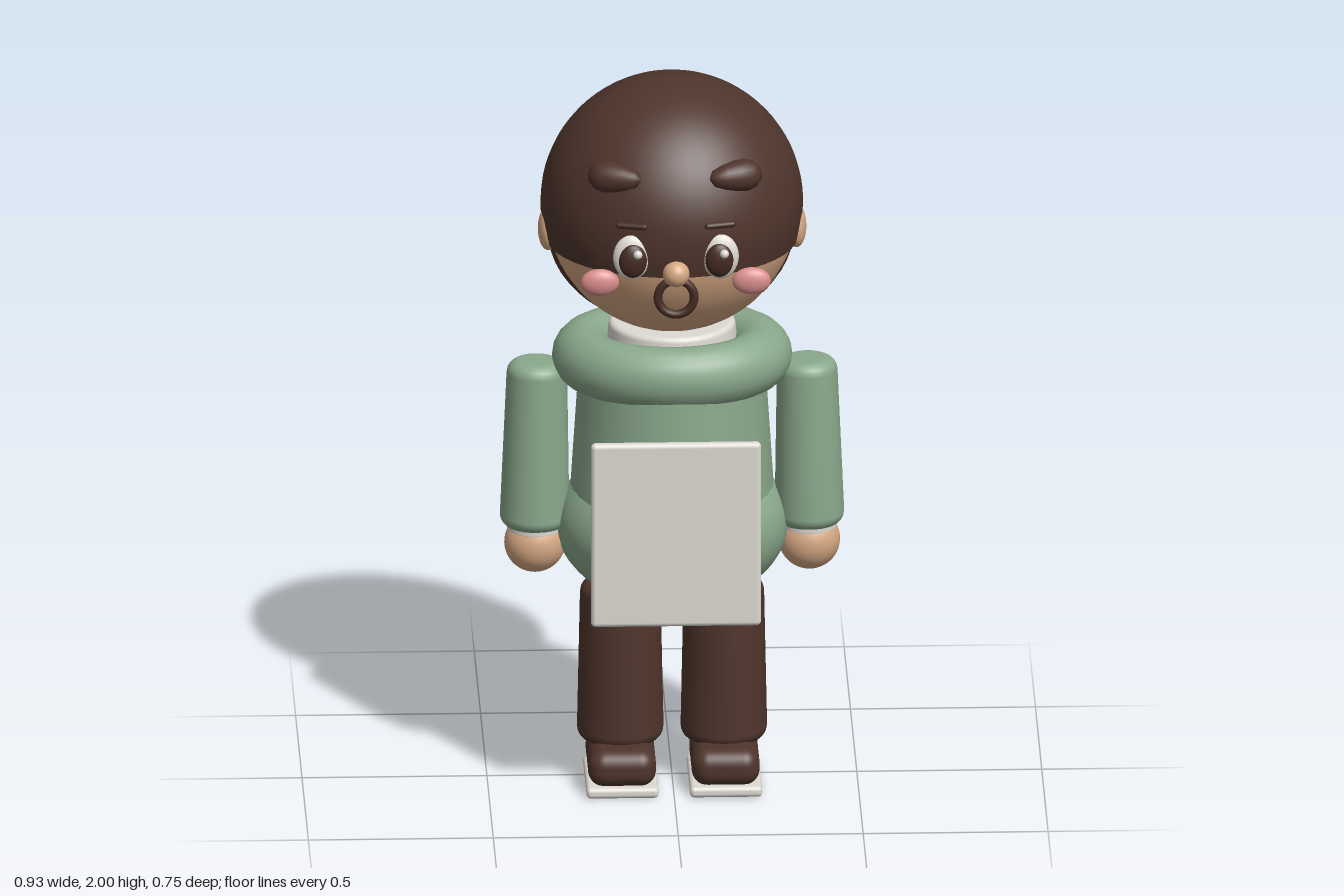
import * as THREE from 'three';
import { RoundedBoxGeometry } from 'three/addons/geometries/RoundedBoxGeometry.js';

const mat = (name, color) => {
  const m = new THREE.MeshStandardMaterial({ color });
  m.name = name;
  return m;
};

// Upright cylinder with rounded rims, standing on y = 0
function roundedCylinder(rBottom, rTop, height, bevel) {
  const pts = [new THREE.Vector2(0, 0)];
  for (let i = 0; i <= 5; i++) {
    const a = (i / 5) * Math.PI / 2;
    pts.push(new THREE.Vector2(rBottom - bevel + Math.sin(a) * bevel, bevel - Math.cos(a) * bevel));
  }
  for (let i = 0; i <= 5; i++) {
    const a = (i / 5) * Math.PI / 2;
    pts.push(new THREE.Vector2(rTop - bevel + Math.cos(a) * bevel, height - bevel + Math.sin(a) * bevel));
  }
  pts.push(new THREE.Vector2(0, height));
  return new THREE.LatheGeometry(pts, 32);
}

// Sphere cut flat at a given height below its centre
function hairCap(r, drop) {
  const end = Math.acos(drop / r);
  const pts = [new THREE.Vector2(0, -drop), new THREE.Vector2(r * Math.sin(end), -drop)];
  for (let i = 0; i <= 24; i++) {
    const a = (Math.PI - end) * (1 - i / 24);
    pts.push(new THREE.Vector2(Math.max(0, r * Math.sin(a)), r * Math.cos(a)));
  }
  return new THREE.LatheGeometry(pts, 48);
}

export function createModel() {
  const model = new THREE.Group();
  const brown = mat('hair and trouser brown', 0x4f352c);
  const dark = mat('dark brown', 0x452b22);
  const skin = mat('skin', 0xd6a883);
  const green = mat('sweater green', 0x8aa88b);
  const white = mat('off white', 0xdedad3);
  const pink = mat('cheek pink', 0xd98d8d);

  const add = (name, geo, material, x, y, z) => {
    const m = new THREE.Mesh(geo, material);
    m.name = name;
    m.position.set(x, y, z);
    model.add(m);
    return m;
  };
  const ball = (name, material, x, y, z, rx, ry = rx, rz = rx) => {
    const m = add(name, new THREE.SphereGeometry(1, 40, 28), material, x, y, z);
    m.scale.set(rx, ry, rz);
    return m;
  };

  // Head and hair
  ball('head', skin, 0, 1.635, 0, 0.34);
  add('hairCap', hairCap(0.355, 0.1), brown, 0, 1.645, -0.01);
  ball('backHair', brown, 0, 1.545, -0.1, 0.336, 0.275, 0.273);
  ball('nose', skin, 0, 1.56, 0.34, 0.036);
  add('mouth', new THREE.TorusGeometry(0.049, 0.012, 12, 32), dark, 0, 1.49, 0.331);

  // Teardrop lock, thick at its lower end
  const lockShape = [[0, -0.065], [0.022, -0.06], [0.038, -0.042], [0.044, -0.02], [0.042, 0.01],
    [0.034, 0.045], [0.022, 0.075], [0, 0.088]].map(p => new THREE.Vector2(...p));

  for (const [side, s] of [['left', 1], ['right', -1]]) {
    // Face
    ball(side + 'Ear', skin, s * 0.336, 1.58, 0.017, 0.027, 0.06, 0.05);
    ball(side + 'EyeWhite', white, s * 0.12, 1.603, 0.322, 0.05, 0.063, 0.022);
    ball(side + 'Iris', dark, s * 0.117, 1.597, 0.335, 0.038, 0.048, 0.021);
    ball(side + 'EyeHighlight', white, s * 0.117 + 0.013, 1.622, 0.358, 0.012);
    ball(side + 'Cheek', pink, s * 0.205, 1.525, 0.303, 0.052, 0.038, 0.024);
    const brow = add(side + 'Eyebrow', new THREE.CapsuleGeometry(0.009, 0.07, 6, 12), dark, s * 0.12, 1.692, 0.322);
    brow.rotation.set(0, s * 0.25, Math.PI / 2);
    const lock = add(side + 'Forelock', new THREE.LatheGeometry(lockShape, 24), brown, s * 0.172, 1.81, 0.255);
    lock.quaternion.setFromUnitVectors(new THREE.Vector3(0, 1, 0), new THREE.Vector3(-s * 0.9, 0.03, 0.42).normalize());

    // Arms
    const arm = add(side + 'Sleeve', roundedCylinder(0.094, 0.082, 0.475, 0.035), green, s * 0.372, 0.725, 0.01);
    arm.rotation.z = s * 0.015;
    add(side + 'Cuff', roundedCylinder(0.075, 0.075, 0.04, 0.01), white, s * 0.371, 0.712, 0.015);
    ball(side + 'Hand', skin, s * 0.371, 0.683, 0.02, 0.083, 0.083, 0.077);

    // Legs and shoes
    add(side + 'Trouser', roundedCylinder(0.117, 0.109, 0.455, 0.035), brown, s * 0.14, 0.115, 0.012);
    add(side + 'Shoe', new RoundedBoxGeometry(0.184, 0.105, 0.27, 5, 0.045), brown, s * 0.14, 0.08, 0.063);
    add(side + 'Sole', new RoundedBoxGeometry(0.195, 0.03, 0.285, 3, 0.012), white, s * 0.14, 0.02, 0.061);
  }

  // Body
  add('neckBand', roundedCylinder(0.178, 0.172, 0.1, 0.015), white, 0, 1.215, 0.005);
  const collar = add('collar', new THREE.TorusGeometry(0.24, 0.085, 20, 48), green, 0, 1.215, 0.012);
  collar.rotation.x = Math.PI / 2;
  collar.scale.y = 0.82;
  const torso = add('torso', roundedCylinder(0.282, 0.25, 0.55, 0.03), green, 0, 0.7, 0.008);
  torso.scale.z = 0.98;
  ball('sweaterHem', green, 0, 0.735, 0.01, 0.315, 0.225, 0.282);

  // Board held in front of the chest
  add('board', new RoundedBoxGeometry(0.46, 0.525, 0.03, 3, 0.013), white, 0, 0.808, 0.325);

  return model;
}
